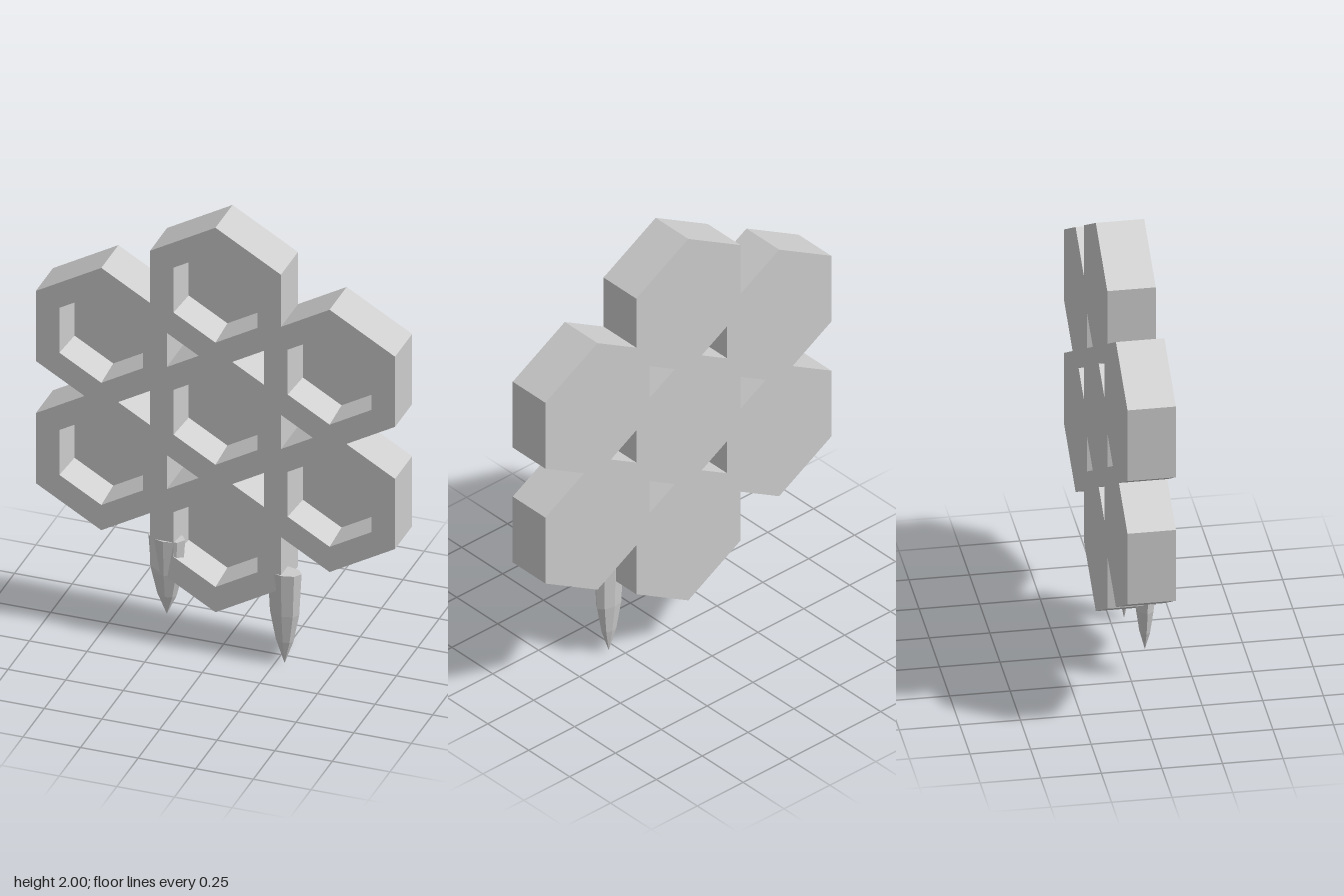
import * as THREE from 'three';

const MID_Y = 1.1;              // centre of the middle cell
const PITCH = 0.572;            // distance between cell centres
const R = 0.328;                // cell corner radius
const APOTHEM = R * Math.cos(Math.PI / 6);
const MOUTH = 0.21, FLOOR = 0.194;
const BACK = -0.105, FRONT = 0.095, FLOOR_Z = -0.045;
const DEG = Math.PI / 180;

const polar = (r, deg, c = new THREE.Vector2()) =>
  new THREE.Vector2(c.x + r * Math.cos(deg * DEG), c.y + r * Math.sin(deg * DEG));

// Regular polygon with its first corner at the given angle
function polygon(c, r, sides, start) {
  return Array.from({ length: sides }, (_, i) => polar(r, start + i * 360 / sides, c));
}

export function createModel() {
  const model = new THREE.Group();
  const material = new THREE.MeshStandardMaterial({ color: 0xcccccc, flatShading: true });
  const add = (name, geometry, x, y, z) => {
    const mesh = new THREE.Mesh(geometry, material);
    mesh.name = name;
    mesh.position.set(x, y, z);
    model.add(mesh);
    return mesh;
  };

  // Cell centres: one in the middle, six around it
  const cells = [new THREE.Vector2()];
  for (let k = 0; k < 6; k++) cells.push(polar(PITCH, 30 + k * 60));

  // Comb plate: merged outline, cell openings and triangular gaps
  const outline = [];
  for (let k = 0; k < 6; k++) {
    const a = 30 + k * 60, c = cells[k + 1];
    outline.push(polar(R, a - 60, c), polar(R, a, c), polar(R, a + 60, c), polar(2 * APOTHEM, a + 30));
  }
  const plate = new THREE.Shape(outline);
  for (const c of cells) plate.holes.push(new THREE.Path(polygon(c, MOUTH, 6, 30)));
  const gapCentre = PITCH / Math.sqrt(3);
  const gapRadius = 2 * (PITCH * Math.cos(30 * DEG) - APOTHEM - gapCentre / 2);
  for (let k = 0; k < 6; k++) {
    plate.holes.push(new THREE.Path(polygon(polar(gapCentre, k * 60), gapRadius, 3, k * 60)));
  }
  const plateGeometry = new THREE.ExtrudeGeometry(plate, { depth: FRONT - BACK, bevelEnabled: false });
  add('combPlate', plateGeometry, 0, MID_Y, BACK);

  // Tapered cups that close each opening at the back
  const cupProfile = [[0, BACK], [MOUTH, BACK], [MOUTH, FRONT], [FLOOR, FLOOR_Z], [0, FLOOR_Z]]
    .map(([r, z]) => new THREE.Vector2(r, z));
  const cup = new THREE.LatheGeometry(cupProfile, 6).rotateX(Math.PI / 2);
  cells.forEach((c, i) => add(`cellCup${i + 1}`, cup, c.x, c.y + MID_Y, 0));

  // Honey drips: flattened pointed drops, profile as [radius, height] fractions
  const dripProfile = [[0, 0], [0.52, 0.25], [0.86, 0.55], [1, 1], [0, 1]]
    .map(([r, h]) => new THREE.Vector2(r, h));
  const drip = new THREE.LatheGeometry(dripProfile, 8);
  add('leftDrip', drip, 0.287, 0, 0.06).scale.set(0.074, 0.43, 0.043);
  add('rightDrip', drip, -0.224, 0.13, 0.06).scale.set(0.08, 0.36, 0.045);

  return model;
}
